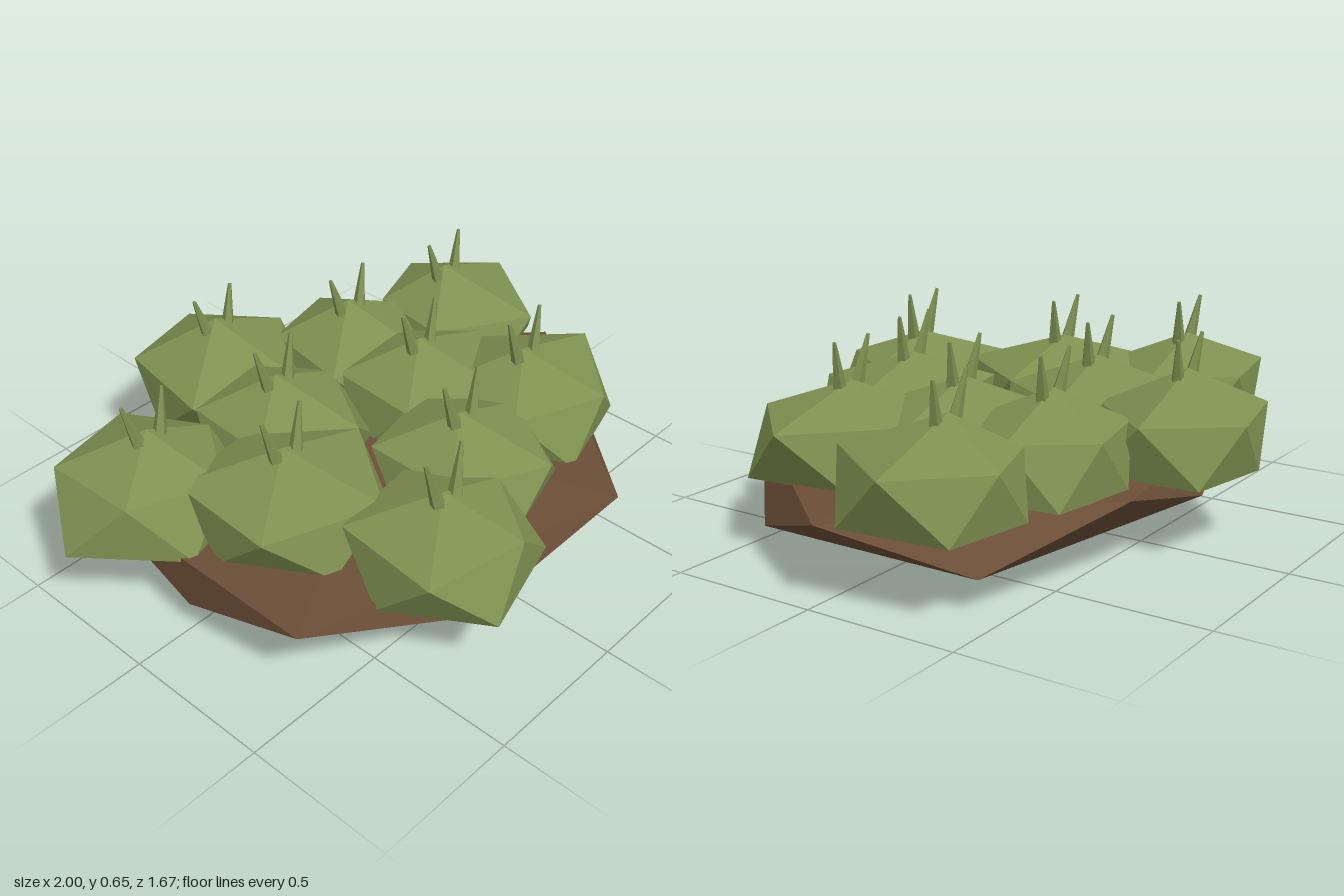
import * as THREE from 'three';

// Twenty-sided lump: top point, upper ring, lower ring, bottom point
function lump(top, upper, lower, bottom) {
  const pos = [];
  const tri = (...pts) => pts.forEach((p) => pos.push(...p));
  for (let i = 0; i < 5; i++) {
    const j = (i + 1) % 5;
    tri(top, upper[j], upper[i]);
    tri(upper[i], upper[j], lower[i]);
    tri(lower[i], upper[j], lower[j]);
    tri(bottom, lower[i], lower[j]);
  }
  const geo = new THREE.BufferGeometry();
  geo.setAttribute('position', new THREE.Float32BufferAttribute(pos, 3));
  geo.computeVertexNormals();
  return geo;
}

// Ring of five points around (x, z), one radius per point
const ring = (x, y, z, radii, startDeg) => radii.map((r, i) => {
  const a = THREE.MathUtils.degToRad(startDeg + i * 72);
  return [x + r * Math.cos(a), y, z + r * Math.sin(a)];
});

// x, z, top height, radius of the lower left point, upper ring radii
const BUSHES = [
  [-0.11, -0.59, 0.55, 0.27, [0.29, 0.28, 0.34, 0.28, 0.26]],
  [-0.65, -0.31, 0.53, 0.35, [0.24, 0.27, 0.26, 0.29, 0.26]],
  [-0.18, -0.23, 0.53, 0.27, [0.25, 0.3, 0.27, 0.26, 0.25]],
  [0.29, -0.355, 0.54, 0.27, [0.25, 0.28, 0.3, 0.25, 0.23]],
  [0.69, -0.265, 0.54, 0.25, [0.31, 0.34, 0.26, 0.22, 0.24]],
  [-0.42, 0.05, 0.52, 0.28, [0.32, 0.34, 0.34, 0.33, 0.25]],
  [0.29, -0.03, 0.53, 0.27, [0.3, 0.3, 0.28, 0.27, 0.24]],
  [0.08, 0.325, 0.52, 0.27, [0.27, 0.31, 0.27, 0.28, 0.25]],
  [0.49, 0.25, 0.52, 0.27, [0.34, 0.29, 0.28, 0.27, 0.25]],
  [-0.24, 0.53, 0.51, 0.29, [0.25, 0.26, 0.33, 0.3, 0.24]],
];

export function createModel() {
  const group = new THREE.Group();
  const green = new THREE.MeshStandardMaterial({ color: 0x7f9151, flatShading: true });
  green.name = 'leaf green';
  const brown = new THREE.MeshStandardMaterial({ color: 0x6b4e37, flatShading: true });
  brown.name = 'soil brown';

  // Flattened mound of soil
  const soil = new THREE.Mesh(lump(
    [0.03, 0.28, 0],
    [[0.97, 0.24, 0], [0.35, 0.26, 0.76], [-0.78, 0.26, 0.46], [-0.77, 0.25, -0.46], [0.3, 0.24, -0.63]],
    [[0.76, 0.1, 0.38], [-0.24, 0.1, 0.67], [-0.79, 0.1, 0], [-0.24, 0.1, -0.59], [0.76, 0.1, -0.41]],
    [0.03, 0, 0],
  ), brown);
  soil.name = 'soil';
  group.add(soil);

  const bladeGeo = new THREE.CylinderGeometry(0.006, 0.028, 0.2, 5);
  const up = new THREE.Vector3(0, 1, 0);

  BUSHES.forEach(([x, z, top, leftRadius, radii], n) => {
    const bush = new THREE.Group();
    bush.name = `bush${n + 1}`;

    const clump = new THREE.Mesh(lump(
      [x, top, z],
      ring(x, 0.42, z, radii, 2),
      ring(x, 0.24, z, [0.33, 0.32, leftRadius, 0.23, 0.28], 36),
      [x, 0.17, z],
    ), green);
    clump.name = 'clump';
    bush.add(clump);

    // Pair of blades leaning apart
    for (const side of [-1, 1]) {
      const foot = new THREE.Vector3(x + side * 0.03, 0.455, z + 0.018);
      const tip = new THREE.Vector3(x + side * 0.08, 0.652, z - 0.005);
      const blade = new THREE.Mesh(bladeGeo, green);
      blade.name = side > 0 ? 'leftBlade' : 'rightBlade';
      blade.position.copy(foot).lerp(tip, 0.5);
      blade.quaternion.setFromUnitVectors(up, tip.clone().sub(foot).normalize());
      bush.add(blade);
    }
    group.add(bush);
  });
  return group;
}
